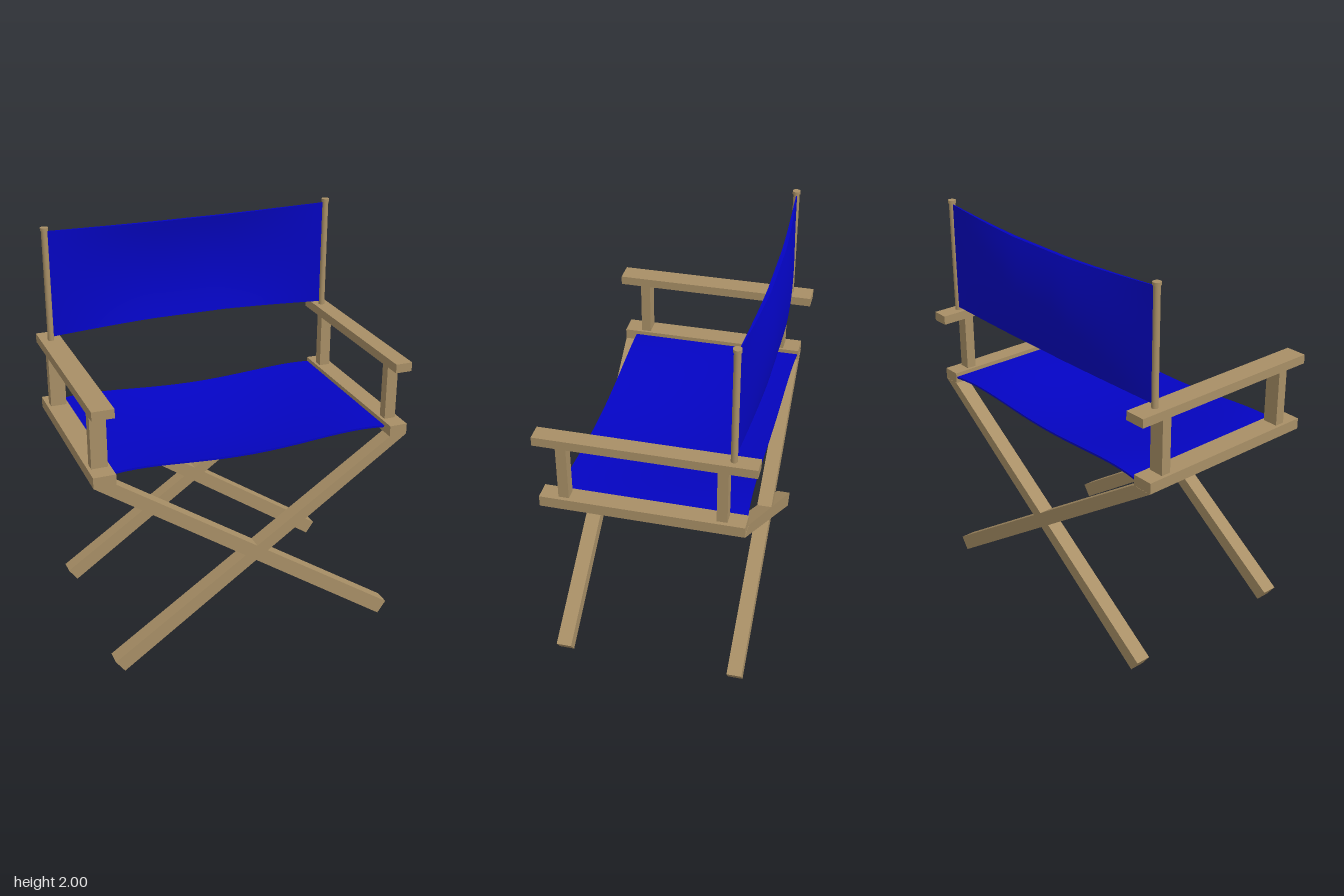
import * as THREE from 'three';

export function createModel() {
  const wood = new THREE.MeshStandardMaterial({ color: 0xa88f66 });
  wood.name = 'wood';
  const canvas = new THREE.MeshStandardMaterial({ color: 0x0404c2 });
  canvas.name = 'blueCanvas';

  const chair = new THREE.Group();
  chair.name = 'foldingChair';

  const add = (name, geometry, material) => {
    const mesh = new THREE.Mesh(geometry, material);
    mesh.name = name;
    chair.add(mesh);
    return mesh;
  };

  // Box given by its extents on each axis
  const bar = (name, [x0, x1], [y0, y1], [z0, z1]) =>
    add(name, new THREE.BoxGeometry(x1 - x0, y1 - y0, z1 - z0), wood)
      .position.set((x0 + x1) / 2, (y0 + y1) / 2, (z0 + z1) / 2);

  // Both sides: rail under the seat edge, two posts, armrest, back pole
  const sides = [
    { side: 'right', rail: [-0.799, -0.69], post: [-0.782, -0.703], arm: [-0.797, -0.69], pole: -0.747 },
    { side: 'left', rail: [0.707, 0.798], post: [0.722, 0.779], arm: [0.709, 0.793], pole: 0.75 },
  ];
  for (const { side, rail, post, arm, pole } of sides) {
    bar(side + 'SeatRail', rail, [1.035, 1.09], [-0.467, 0.498]);
    bar(side + 'FrontPost', post, [1.08, 1.385], [0.36, 0.41]);
    bar(side + 'BackPost', post, [1.08, 1.385], [-0.383, -0.333]);
    bar(side + 'Armrest', arm, [1.377, 1.422], [-0.514, 0.514]);
    add(side + 'BackPole', new THREE.CylinderGeometry(0.016, 0.016, 0.59, 16), wood)
      .position.set(pole, 1.695, -0.4);
    add(side + 'PoleCap', new THREE.CylinderGeometry(0.02, 0.02, 0.015, 16), wood)
      .position.set(pole, 1.9925, -0.4);
  }

  // Crossed legs, cut level under the rails and square at the foot
  const legOutlines = {
    LegFromRight: [[-0.799, 1.035], [0.704, 0.003], [0.747, 0.065], [-0.688, 1.035]],
    LegFromLeft: [[0.798, 1.035], [0.709, 1.035], [-0.73, 0.065], [-0.685, 0.003]],
  };
  for (const [end, z, depth] of [['front', 0.42, 0.077], ['back', -0.468, 0.075]]) {
    for (const [name, points] of Object.entries(legOutlines)) {
      const shape = new THREE.Shape(points.map(([x, y]) => new THREE.Vector2(x, y)));
      const leg = new THREE.ExtrudeGeometry(shape, { depth, bevelEnabled: false });
      add(end + name, leg, wood).position.z = z;
    }
  }

  // Thin cloth: a segmented slab whose vertices are moved by a rule
  const cloth = (name, geometry, rule) => {
    const p = geometry.attributes.position;
    for (let i = 0; i < p.count; i++) {
      p.setXYZ(i, ...rule(p.getX(i), p.getY(i), p.getZ(i)));
    }
    geometry.computeVertexNormals();
    add(name, geometry, canvas);
  };

  // Seat sags towards the middle, its free edges pulled slightly inwards
  cloth('seat', new THREE.BoxGeometry(2, 0.01, 2, 24, 1, 16), (u, t, v) => {
    const sag = 1 - u * u;
    const lift = 0.06 * sag * u * u;
    const belly = 0.052 * sag * (1 - v * v);
    const pull = 0.012 * (1 - u ** 4) + 0.008 * u * sag;
    const y = 1.064 + lift - (0.022 + 0.006 * v) * sag - belly + t;
    return [0.008 + 0.702 * u, y, -0.012 + v * (0.45 - pull)];
  });

  // Backrest bows backwards between the poles, thickest across its middle
  cloth('backrest', new THREE.BoxGeometry(2, 2, 1, 24, 12, 1), (u, v, t) => {
    const bow = Math.min(1, 1.08 * Math.cos(u * Math.PI / 2));
    const z = -0.402 - bow * (0.03 + 0.034 * (1 - v * v)) + t * (0.005 + 0.014 * bow);
    return [0.0015 + 0.742 * u, 1.709 + v * (0.271 - 0.018 * bow), z];
  });

  return chair;
}
